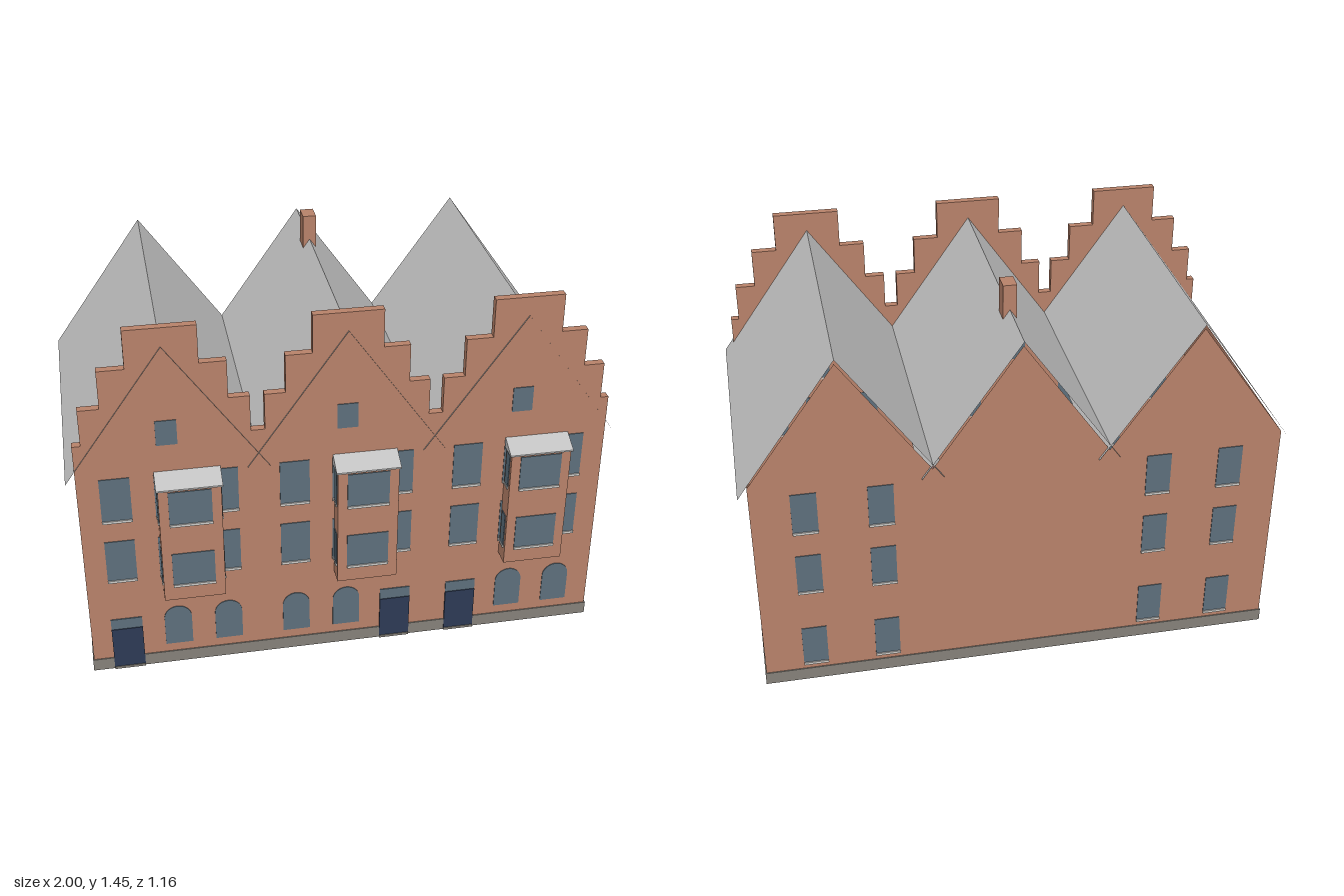
import * as THREE from 'three';

const mat = (name, color, side = THREE.FrontSide) => {
  const m = new THREE.MeshStandardMaterial({ color, side });
  m.name = name;
  return m;
};

export function createModel() {
  const brick = mat('brick', 0xb8826a, THREE.DoubleSide);
  const slate = mat('roofGrey', 0xc2c2c2, THREE.DoubleSide);
  const stone = mat('plinthStone', 0x85817a);
  const glass = mat('windowGlass', 0x5d6f7c, THREE.DoubleSide);
  const paint = mat('doorPaint', 0x2d3a55);
  const sillStone = mat('sillStone', 0xcdccc9);

  const model = new THREE.Group();
  model.name = 'terraceOfThreeHouses';
  const HOUSES = [-0.64, 0, 0.64];
  const W = 0.965, FRONT = 0.505, BACK = -0.57, EAVE = 0.88;

  const add = (name, geo, material, x = 0, y = 0, z = 0) => {
    const mesh = new THREE.Mesh(geo, material);
    mesh.name = name;
    mesh.position.set(x, y, z);
    model.add(mesh);
    return mesh;
  };
  // Box given by its lower and upper limits
  const box = (name, material, x0, x1, y0, y1, z0, z1) =>
    add(name, new THREE.BoxGeometry(x1 - x0, y1 - y0, z1 - z0), material,
      (x0 + x1) / 2, (y0 + y1) / 2, (z0 + z1) / 2);
  const outline = (pts) => new THREE.Shape(pts.map(([x, y]) => new THREE.Vector2(x, y)));

  // Window plate with a sill, on a wall facing +z (dir 1) or -z (dir -1)
  const sashWindow = (name, x, y0, y1, w, z, dir = 1, sill = true) => {
    box(name, glass, x - w / 2, x + w / 2, y0, y1, z - 0.003, z + 0.003);
    if (!sill) return;
    const zs = z + dir * 0.004;
    box(name + 'Sill', sillStone, x - w / 2, x + w / 2, y0 - 0.01, y0, zs - 0.004, zs + 0.004);
  };

  // Thin shell: front, sides, and a back wall with three gables
  add('frontWall', new THREE.PlaneGeometry(2 * W, EAVE), brick, 0, EAVE / 2, FRONT);
  for (const s of [-1, 1]) {
    const side = add('sideWall', new THREE.PlaneGeometry(FRONT - BACK, EAVE), brick,
      s * W, EAVE / 2, (FRONT + BACK) / 2);
    side.rotation.y = s * Math.PI / 2;
  }
  const backPts = [[-W, 0], [-W, EAVE]];
  for (const c of HOUSES) backPts.push([c, 1.335], [c < 0.5 ? c + 0.32 : W, EAVE]);
  backPts.push([W, 0]);
  const back = add('backWall', new THREE.ShapeGeometry(outline(backPts)), brick, 0, 0, BACK);
  back.rotation.y = Math.PI; // the outline is symmetrical

  // Stepped parapet: one outline across all three houses
  const steps = [[0.295, 0.995], [0.22, 1.135], [0.125, 1.28]];
  const parapetPts = [[-W, EAVE], [-W, 0.995]];
  for (const c of HOUSES) {
    for (const [h, y] of steps) parapetPts.push([c - h, y], [c - h, y === 0.995 ? 1.135 : y === 1.135 ? 1.28 : 1.425]);
    for (const [h, y] of [...steps].reverse()) parapetPts.push([c + h, y === 0.995 ? 1.135 : y === 1.135 ? 1.28 : 1.425], [c + h, y]);
  }
  parapetPts.push([W, 0.995], [W, EAVE]);
  add('steppedParapet', new THREE.ExtrudeGeometry(outline(parapetPts),
    { depth: 0.03, bevelEnabled: false }), brick, 0, 0, FRONT - 0.03);

  // Thin roof slopes, crossing each other below the valleys
  const run = 0.36, rise = 0.51, slopeLen = Math.hypot(run, rise);
  for (const c of HOUSES) for (const s of [-1, 1]) {
    const geo = new THREE.PlaneGeometry(slopeLen, 1.09);
    geo.rotateX(-Math.PI / 2);
    geo.rotateZ(-s * Math.atan2(rise, run));
    add('roofSlope', geo, slate, c + s * run / 2, 1.355 - rise / 2, -0.035);
  }
  box('chimney', brick, -0.025, 0.025, 1.2, 1.45, -0.34, -0.27);

  // Plinth strips around the base
  const P = 0.004;
  box('plinthFront', stone, -W - P, W + P, 0, 0.05, FRONT, FRONT + P);
  box('plinthBack', stone, -W - P, W + P, 0, 0.05, BACK - P, BACK);
  box('plinthLeft', stone, W, W + P, 0, 0.05, BACK, FRONT);
  box('plinthRight', stone, -W - P, -W, 0, 0.05, BACK, FRONT);

  // Round-headed ground floor window
  const arch = new THREE.Shape();
  arch.moveTo(-0.051, 0);
  arch.lineTo(0.051, 0);
  arch.lineTo(0.051, 0.122);
  arch.absarc(0, 0.122, 0.051, 0, Math.PI, false);
  const archGeo = new THREE.ExtrudeGeometry(arch, { depth: 0.006, bevelEnabled: false, curveSegments: 12 });

  // Bay roof wedge: profile in depth and height, extruded sideways
  const wedgeGeo = new THREE.ExtrudeGeometry(
    outline([[0, 0], [0.075, 0], [0.075, 0.006], [0, 0.04]]), { depth: 0.236, bevelEnabled: false });
  wedgeGeo.rotateY(-Math.PI / 2);

  HOUSES.forEach((c, i) => {
    const slots = [-0.192, 0, 0.19];
    const doorSlot = i === 1 ? 2 : 0;

    // Ground floor: a door with a fanlight, and two arches
    slots.forEach((dx, k) => {
      const x = c + dx;
      if (k !== doorSlot) {
        add('archedWindow', archGeo, glass, x, 0.087, FRONT - 0.003);
        return;
      }
      box('door', paint, x - 0.058, x + 0.058, 0.01, 0.185, FRONT, FRONT + 0.007);
      box('fanlight', glass, x - 0.058, x + 0.058, 0.185, 0.23, FRONT, FRONT + 0.004);
      box('doorstep', stone, x - 0.058, x + 0.058, 0, 0.01, FRONT, FRONT + 0.01);
    });

    // Upper floors and attic
    for (const dx of slots) {
      sashWindow('firstFloorWindow', c + dx, 0.412, 0.583, 0.108, FRONT);
      sashWindow('secondFloorWindow', c + dx, 0.675, 0.85, 0.108, FRONT);
    }
    sashWindow('atticWindow', c, 0.97, 1.068, 0.075, FRONT, 1, false);

    // Two-storey bay
    const b = c + 0.065, h = 0.112, zf = 0.574;
    box('bay', brick, b - h, b + h, 0.345, 0.823, FRONT, zf);
    add('bayRoof', wedgeGeo, slate, b + 0.118, 0.822, FRONT);
    for (const [y0, y1] of [[0.415, 0.55], [0.68, 0.815]]) {
      sashWindow('bayWindow', b, y0, y1, 0.154, zf);
      for (const s of [-1, 1]) {
        const x = b + s * h;
        box('baySideWindow', glass, x - 0.003, x + 0.003, y0, y1, 0.52, 0.559);
        box('baySideSill', sillStone, x - 0.005, x + 0.005, y0 - 0.01, y0, 0.52, 0.559);
      }
    }
  });

  // Back windows, three floors in two pairs
  for (const x of [-0.777, -0.507, 0.507, 0.777])
    for (const [y0, y1] of [[0.08, 0.24], [0.412, 0.57], [0.675, 0.835]])
      sashWindow('backWindow', x, y0, y1, 0.092, BACK, -1);

  return model;
}
